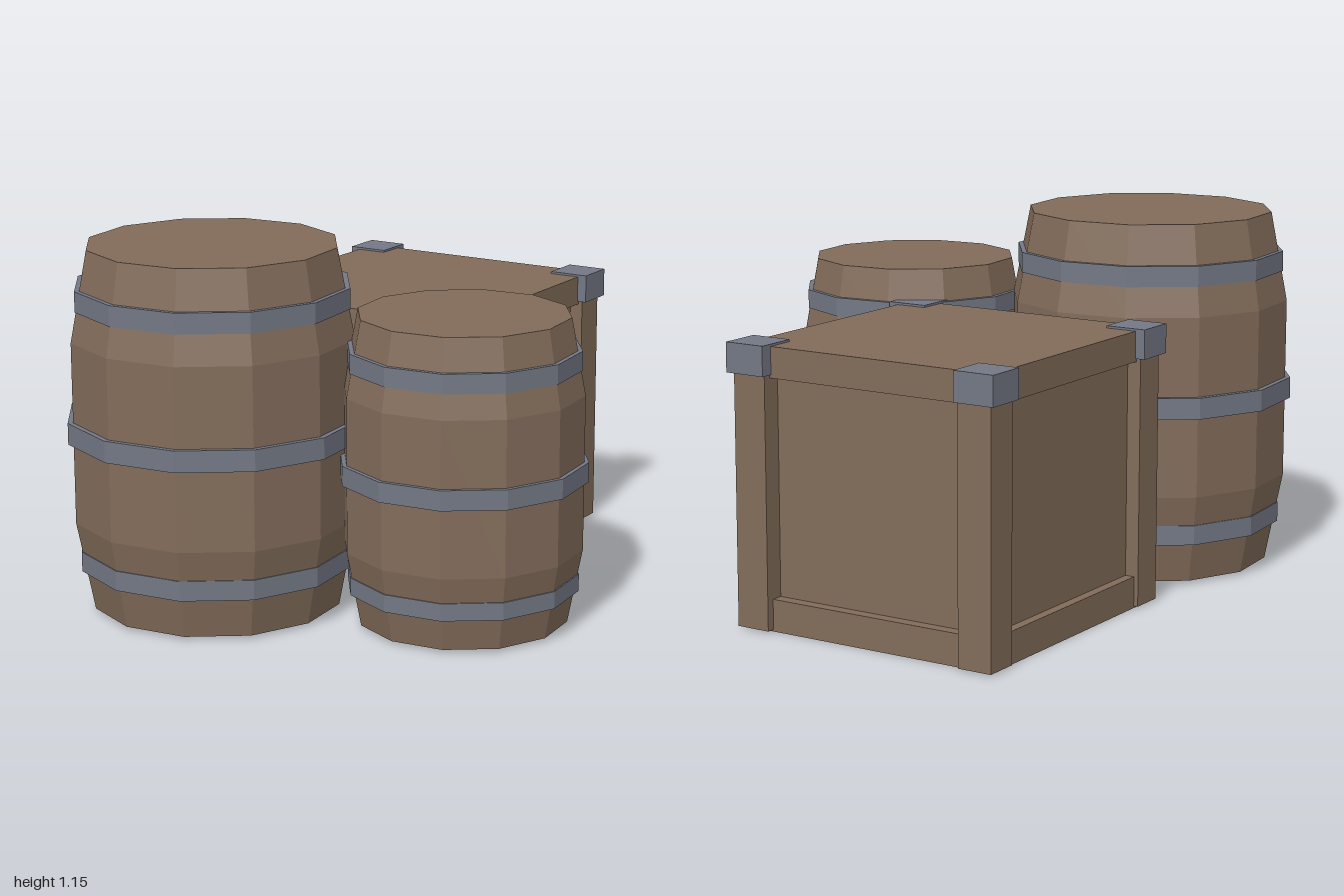
import * as THREE from 'three';

const wood = new THREE.MeshStandardMaterial({ color: 0x826c5a, flatShading: true });
wood.name = 'wood';
const metal = new THREE.MeshStandardMaterial({ color: 0x737885, flatShading: true });
metal.name = 'metal';

function add(parent, name, geometry, material, x = 0, y = 0, z = 0) {
  const mesh = new THREE.Mesh(geometry, material);
  mesh.name = name;
  mesh.position.set(x, y, z);
  parent.add(mesh);
  return mesh;
}

// Twelve-sided barrel: profile as [radius, y], hoops as [radius, bottom, top]
function barrel(name, x, z, profile, hoops) {
  const group = new THREE.Group();
  group.name = name;
  group.position.set(x, 0, z);
  const points = profile.map(([r, y]) => new THREE.Vector2(r, y));
  add(group, 'staves', new THREE.LatheGeometry(points, 12), wood);
  for (const [r, y0, y1] of hoops) {
    add(group, 'hoop', new THREE.CylinderGeometry(r, r, y1 - y0, 12), metal, 0, (y0 + y1) / 2, 0);
  }
  return group;
}

function box(parent, name, material, w, d, y0, y1, x = 0, z = 0) {
  add(parent, name, new THREE.BoxGeometry(w, y1 - y0, d), material, x, (y0 + y1) / 2, z);
}

// Crate with inset panels, corner posts and metal corner caps
function crate() {
  const group = new THREE.Group();
  group.name = 'crate';
  group.position.set(0.43, 0, -0.28);
  group.rotation.y = THREE.MathUtils.degToRad(10);
  box(group, 'panels', wood, 0.82, 0.815, 0.05, 0.82);
  box(group, 'bottomRails', wood, 0.896, 0.876, 0, 0.10);
  box(group, 'lidRails', wood, 0.896, 0.876, 0.775, 0.87);
  for (const sx of [-1, 1]) {
    for (const sz of [-1, 1]) {
      box(group, 'cornerPost', wood, 0.112, 0.112, 0.006, 0.80, sx * 0.418, sz * 0.396);
      box(group, 'cornerCap', metal, 0.134, 0.134, 0.785, 0.877, sx * 0.422, sz * 0.402);
    }
  }
  return group;
}

export function createModel() {
  const model = new THREE.Group();
  model.name = 'barrelsAndCrate';
  model.add(
    barrel('largeBarrel', -0.535, -0.255,
      [[0, 0.01], [0.395, 0.01], [0.45, 0.295], [0.45, 0.87], [0.395, 1.155], [0, 1.155]],
      [[0.435, 0.137, 0.2], [0.467, 0.55, 0.618], [0.435, 0.965, 1.03]]),
    barrel('smallBarrel', -0.155, 0.44,
      [[0, 0.01], [0.33, 0.01], [0.375, 0.247], [0.375, 0.735], [0.33, 0.975], [0, 0.975]],
      [[0.364, 0.112, 0.167], [0.389, 0.463, 0.526], [0.364, 0.812, 0.873]]),
    crate(),
  );
  return model;
}
